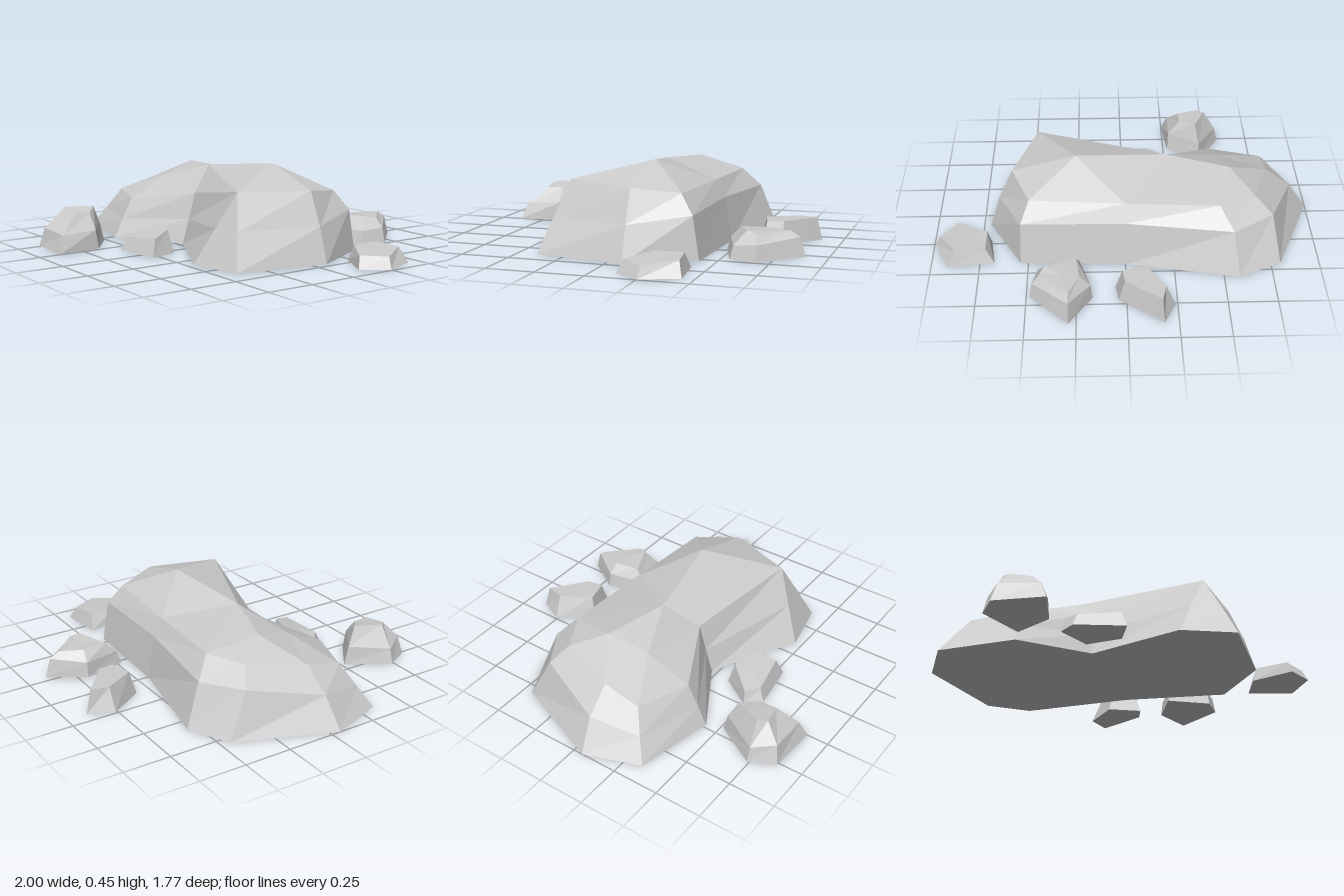
import * as THREE from 'three';

const material = new THREE.MeshStandardMaterial({ color: 0xcccccc, flatShading: true });

// Faceted stone: rings of [x, y, z] from the ground up, walls between them,
// a flat underside, and cap triangles over the last ring.
function stone(name, rings, cap) {
  const positions = [];
  const tri = (...pts) => pts.forEach((p) => positions.push(...p));
  const n = rings[0].length;

  // Walls
  for (let r = 0; r < rings.length - 1; r++) {
    for (let i = 0; i < n; i++) {
      const j = (i + 1) % n;
      const low = rings[r], high = rings[r + 1];
      tri(low[j], low[i], high[i]);
      tri(low[j], high[i], high[j]);
    }
  }

  // Underside, turned to face down
  const base = rings[0];
  const outline = base.map(([x, , z]) => new THREE.Vector2(x, z));
  for (const [a, b, c] of THREE.ShapeUtils.triangulateShape(outline, [])) {
    const area = THREE.ShapeUtils.area([outline[a], outline[b], outline[c]]);
    if (area > 0) tri(base[a], base[b], base[c]);
    else tri(base[a], base[c], base[b]);
  }

  cap(rings[rings.length - 1], tri);

  const geometry = new THREE.BufferGeometry();
  geometry.setAttribute('position', new THREE.Float32BufferAttribute(positions, 3));
  geometry.computeVertexNormals();
  const mesh = new THREE.Mesh(geometry, material);
  mesh.name = name;
  return mesh;
}

// Fan from the middle of the top ring
function fanCap(top, tri) {
  const n = top.length;
  const centre = [0, 1, 2].map((k) => top.reduce((s, p) => s + p[k], 0) / n);
  top.forEach((p, i) => tri(top[(i + 1) % n], p, centre));
}

// Ridge of the boulder: four crest points joined to the shoulder ring
function boulderCap(t, tri) {
  const A = [0.25, 0.45, -0.1], B = [-0.22, 0.4, -0.02];
  const C = [-0.55, 0.38, -0.12], D = [-0.5, 0.32, 0.09];
  tri(t[1], t[0], C);
  tri(t[2], t[1], C);
  tri(t[2], C, B);
  tri(t[3], t[2], B);
  tri(t[3], B, A);
  tri(t[4], t[3], A);
  tri(t[5], t[4], A);
  tri(t[6], t[5], A);
  tri(t[6], A, B);
  tri(t[8], t[7], B);
  tri(t[8], B, D);
  tri(t[9], t[8], D);
  tri(t[10], t[9], D);
  tri(t[0], t[10], D);
  tri(t[0], D, C);
  tri(B, C, D);
}

export function createModel() {
  const group = new THREE.Group();
  group.name = 'rocks';

  // Large boulder with a notch in its front
  group.add(stone('boulder', [
    [[-1, 0, 0.05], [-0.8, 0, -0.45], [-0.58, 0, -0.555], [-0.01, 0, -0.44],
      [0.54, 0, -0.415], [0.715, 0, -0.08], [0.625, 0, 0.4], [0.34, 0, 0.46],
      [-0.12, 0, 0.22], [-0.48, 0, 0.43], [-0.895, 0, 0.34]],
    [[-0.9, 0.16, 0.03], [-0.76, 0.23, -0.34], [-0.55, 0.22, -0.47], [0, 0.23, -0.4],
      [0.535, 0.22, -0.38], [0.66, 0.18, -0.08], [0.545, 0.18, 0.34], [0.4, 0.18, 0.37],
      [-0.12, 0.13, 0.18], [-0.48, 0.1, 0.38], [-0.83, 0.11, 0.28]],
    [[-0.76, 0.27, 0.02], [-0.67, 0.31, -0.28], [-0.48, 0.32, -0.38], [0, 0.32, -0.35],
      [0.49, 0.32, -0.31], [0.585, 0.35, -0.08], [0.46, 0.36, 0.28], [0.46, 0.36, 0.28],
      [-0.12, 0.27, 0.14], [-0.48, 0.21, 0.32], [-0.76, 0.22, 0.22]],
  ], boulderCap));

  // Small stones around it
  group.add(stone('frontRightStone', [
    [[-0.58, 0, 0.74], [-0.45, 0, 0.515], [-0.275, 0, 0.645], [-0.25, 0, 0.885], [-0.515, 0, 0.87]],
    [[-0.56, 0.08, 0.74], [-0.45, 0.1, 0.54], [-0.28, 0.1, 0.66], [-0.28, 0.09, 0.85], [-0.49, 0.1, 0.85]],
    [[-0.49, 0.2, 0.73], [-0.43, 0.2, 0.59], [-0.345, 0.18, 0.66], [-0.34, 0.18, 0.75], [-0.45, 0.19, 0.77]],
  ], fanCap));

  group.add(stone('frontMiddleStone', [
    [[-0.24, 0, 0.5], [-0.135, 0, 0.335], [0.05, 0, 0.385], [0.09, 0, 0.535], [-0.17, 0, 0.575]],
    [[-0.22, 0.07, 0.49], [-0.12, 0.12, 0.365], [0.02, 0.12, 0.405], [0.06, 0.09, 0.505], [-0.155, 0.07, 0.545]],
  ], fanCap));

  group.add(stone('leftStone', [
    [[0.675, 0, -0.415], [0.915, 0, -0.44], [0.995, 0, -0.25], [0.905, 0, -0.12], [0.7, 0, -0.23]],
    [[0.72, 0.08, -0.395], [0.87, 0.075, -0.415], [0.965, 0.06, -0.26], [0.88, 0.065, -0.145], [0.72, 0.08, -0.25]],
  ], fanCap));

  group.add(stone('backLeftStone', [
    [[0.17, 0, -0.7], [0.29, 0, -0.89], [0.485, 0, -0.685], [0.455, 0, -0.545], [0.225, 0, -0.475]],
    [[0.18, 0.08, -0.7], [0.29, 0.1, -0.86], [0.47, 0.08, -0.68], [0.445, 0.07, -0.56], [0.235, 0.07, -0.495]],
    [[0.235, 0.13, -0.69], [0.29, 0.13, -0.81], [0.43, 0.13, -0.67], [0.41, 0.14, -0.62], [0.25, 0.13, -0.555]],
  ], fanCap));

  group.add(stone('backRightStone', [
    [[-0.24, 0, -0.76], [-0.18, 0, -0.89], [0.04, 0, -0.72], [0.055, 0, -0.62], [-0.12, 0, -0.575]],
    [[-0.19, 0.12, -0.765], [-0.17, 0.12, -0.86], [0.01, 0.12, -0.72], [0.02, 0.12, -0.635], [-0.1, 0.12, -0.605]],
  ], fanCap));

  return group;
}
